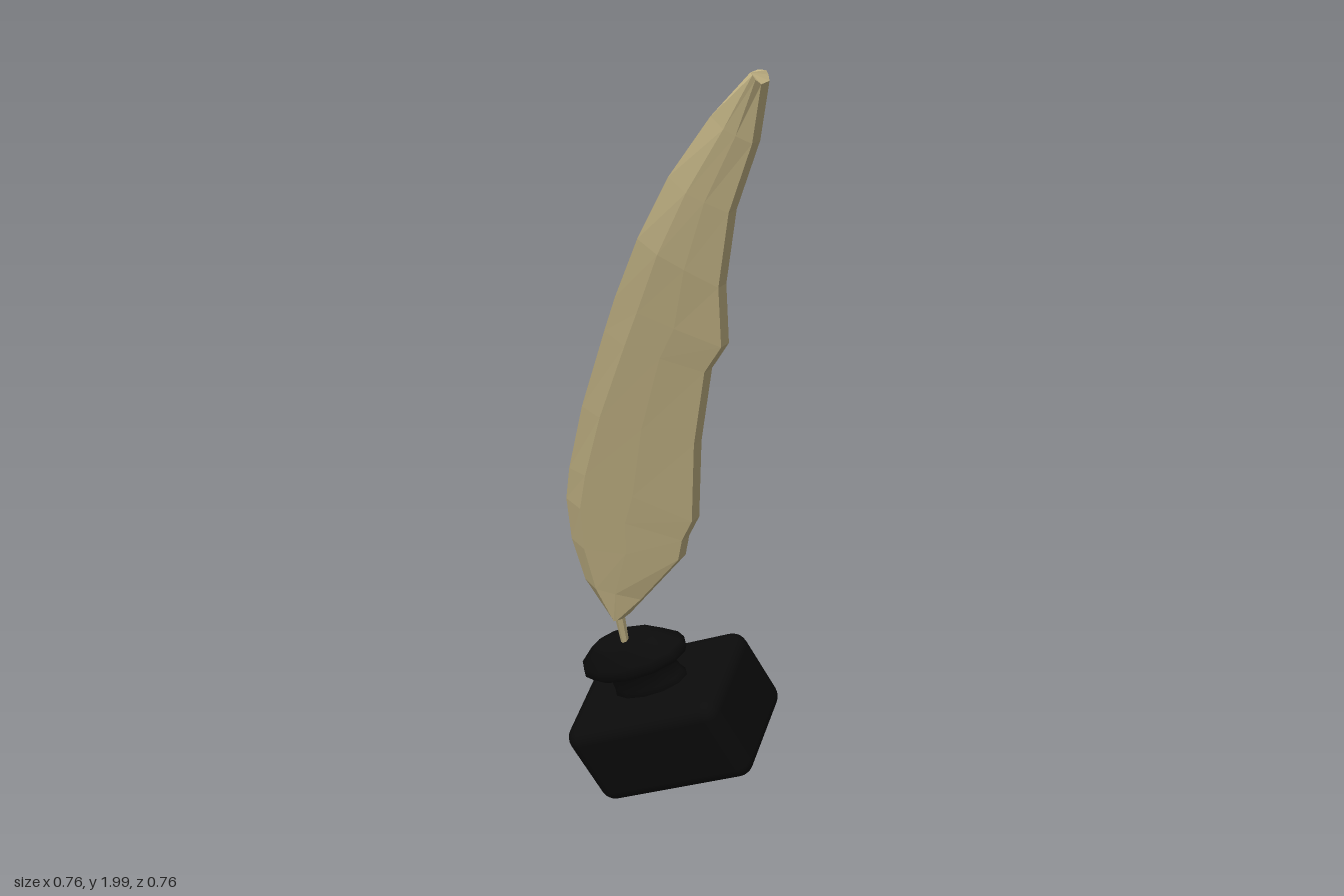
import * as THREE from 'three';
import { RoundedBoxGeometry } from 'three/addons/geometries/RoundedBoxGeometry.js';

const ink = new THREE.MeshStandardMaterial({ color: 0x0b0b0b });
ink.name = 'black glass';
const tan = new THREE.MeshStandardMaterial({ color: 0xcdbd8c, flatShading: true });
tan.name = 'feather tan';

function part(name, geometry, material) {
  const mesh = new THREE.Mesh(geometry, material);
  mesh.name = name;
  return mesh;
}

// Bottle: rounded block, flattened neck and flared rim, tilted as one group
function createBottle() {
  const bottle = new THREE.Group();
  bottle.name = 'inkBottle';
  bottle.add(part('bottleBody', new RoundedBoxGeometry(0.44, 0.24, 0.31, 3, 0.04), ink));
  const profile = [[0, 0.1], [0.115, 0.1], [0.1, 0.135], [0.09, 0.19], [0.14, 0.19],
    [0.152, 0.205], [0.145, 0.225], [0.095, 0.262], [0.08, 0.268], [0, 0.268]]
    .map(p => new THREE.Vector2(...p));
  const neck = part('neckAndRim', new THREE.LatheGeometry(profile, 12), ink);
  neck.scale.z = 0.52;
  bottle.add(neck);

  const x = new THREE.Vector3(0.92, 0.385, -0.06).normalize();
  const y = new THREE.Vector3(0.18, -0.3, 0.93).cross(x).normalize();
  const z = x.clone().cross(y);
  bottle.quaternion.setFromRotationMatrix(new THREE.Matrix4().makeBasis(x, y, z));
  bottle.position.set(-0.128, 0.218, -0.187);
  return bottle;
}

// Leaning plane in which the feather lies
const planeZ = (x, y) => -0.29 + 0.37 * y - 0.17 * x - 0.08 * Math.max(0, y - 1.6);

// Feather: eight-sided sections given by left edge, spine and ragged right edge
function createFeather() {
  const stations = [
    [-0.22, 0.53, -0.207, 0.525, -0.19, 0.53],
    [-0.262, 0.64, -0.232, 0.62, -0.13, 0.6],
    [-0.27, 0.76, -0.236, 0.74, -0.01, 0.74],
    [-0.257, 0.88, -0.22, 0.86, 0.01, 0.8],
    [-0.23, 0.97, -0.186, 0.96, 0.045, 0.86],
    [-0.16, 1.15, -0.115, 1.13, 0.09, 1.08],
    [-0.063, 1.36, -0.016, 1.33, 0.15, 1.28],
    [-0.02, 1.45, 0.03, 1.42, 0.2, 1.35],
    [0.06, 1.6, 0.105, 1.57, 0.22, 1.5],
    [0.15, 1.75, 0.19, 1.72, 0.27, 1.68],
    [0.26, 1.893, 0.29, 1.87, 0.34, 1.84],
    [0.355, 1.993, 0.365, 1.99, 0.375, 1.97],
  ];
  const positions = [], index = [];
  for (const [lx, ly, cx, cy, rx, ry] of stations) {
    // points across the blade with half thickness
    const row = [[lx, ly, 0.016], [cx, cy, 0.03],
      [cx + (rx - cx) * 0.45, cy + (ry - cy) * 0.45, 0.028], [rx, ry, 0.018]];
    for (const [x, y, t] of row) positions.push(x, y, planeZ(x, y) + t);
    for (const [x, y, t] of row.reverse()) positions.push(x, y, planeZ(x, y) - t);
  }
  const n = 8, last = (stations.length - 1) * n;
  for (let s = 0; s < last; s += n) {
    for (let j = 0; j < n; j++) {
      const a = s + j, b = s + (j + 1) % n;
      index.push(a, b, b + n, a, b + n, a + n);
    }
  }
  for (let j = 1; j < n - 1; j++) {
    index.push(0, j + 1, j, last, last + j, last + j + 1);
  }
  const geometry = new THREE.BufferGeometry();
  geometry.setAttribute('position', new THREE.Float32BufferAttribute(positions, 3));
  geometry.setIndex(index);
  const flat = geometry.toNonIndexed();
  flat.computeVertexNormals();
  return part('feather', flat, tan);
}

// Bare shaft of the quill, reaching into the bottle
function createShaft() {
  const from = new THREE.Vector3(-0.208, 0.42, -0.095);
  const to = new THREE.Vector3(-0.205, 0.55, -0.05);
  const shaft = part('quillShaft', new THREE.CylinderGeometry(0.013, 0.009, from.distanceTo(to), 6), tan);
  shaft.position.copy(from).lerp(to, 0.5);
  shaft.quaternion.setFromUnitVectors(new THREE.Vector3(0, 1, 0), to.sub(from).normalize());
  return shaft;
}

export function createModel() {
  const model = new THREE.Group();
  model.name = 'quillAndInkBottle';
  model.add(createBottle(), createFeather(), createShaft());
  return model;
}
